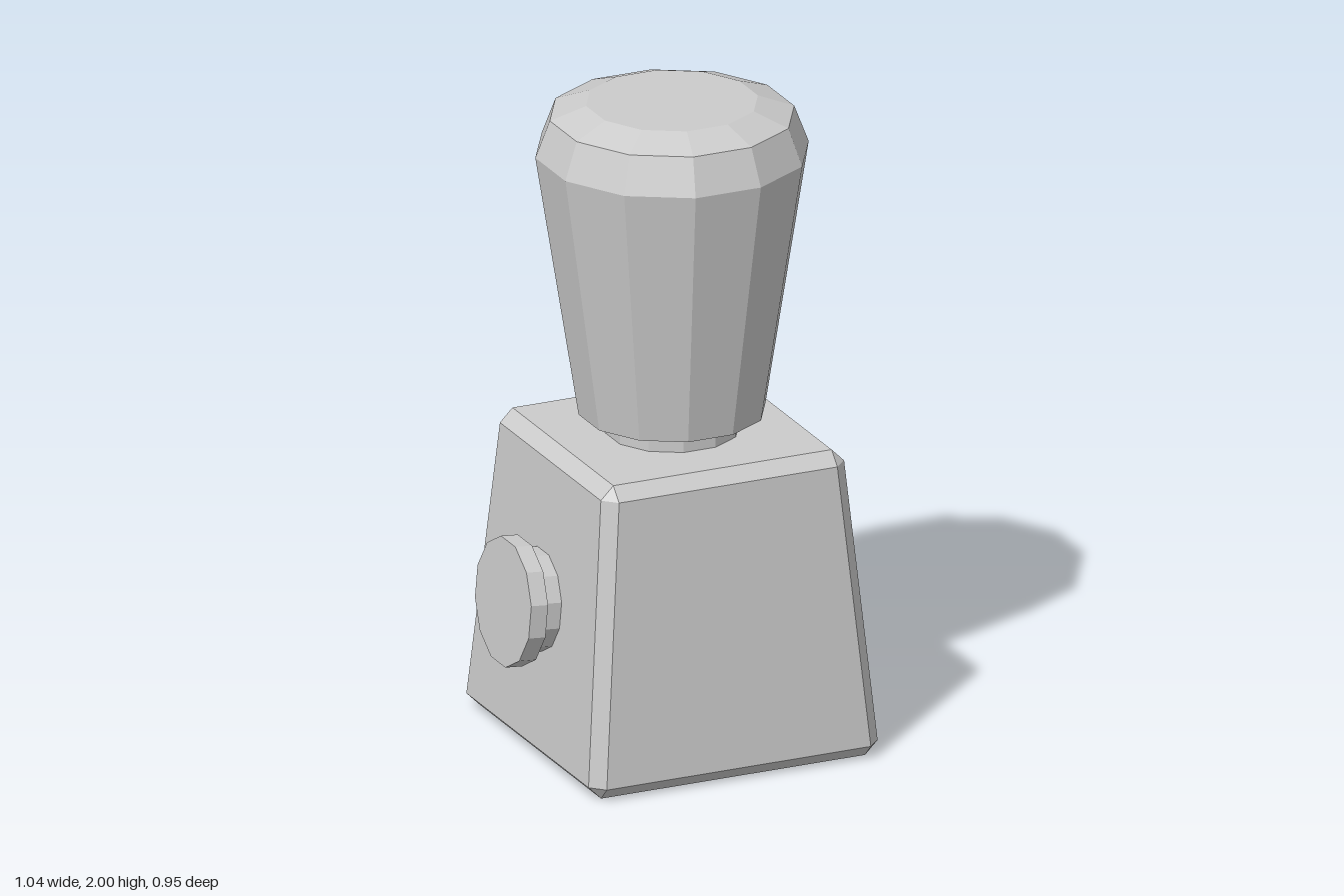
import * as THREE from 'three';
import { ConvexGeometry } from 'three/addons/geometries/ConvexGeometry.js';

const material = new THREE.MeshStandardMaterial({ color: 0xcccccc, flatShading: true });
const SIDES = 12;
const TURN = Math.PI / SIDES; // flats, not corners, face the axes
const APOTHEM = Math.cos(TURN);

function add(parent, name, geometry) {
  const mesh = new THREE.Mesh(geometry, material);
  mesh.name = name;
  parent.add(mesh);
  return mesh;
}

// Twelve-sided solid of revolution; profile is [distance to flat, height], bottom to top
function turned(profile) {
  const points = profile.map(([r, y]) => new THREE.Vector2(r / APOTHEM, y));
  return new THREE.LatheGeometry(points, SIDES, TURN);
}

function disc(r, y0, y1) {
  return turned([[0, y0], [r, y0], [r, y1], [0, y1]]);
}

// Tapered block with all edges chamfered
function taperedBlock(height, bottom, top, bevel) {
  const points = [];
  for (const sx of [-1, 1]) for (const sz of [-1, 1]) {
    for (const [half, capY, sideY] of [[bottom, 0, bevel], [top, height, height - bevel]]) {
      const inner = half - bevel;
      points.push(
        new THREE.Vector3(sx * inner, capY, sz * inner),
        new THREE.Vector3(sx * half, sideY, sz * inner),
        new THREE.Vector3(sx * inner, sideY, sz * half)
      );
    }
  }
  return new ConvexGeometry(points);
}

export function createModel() {
  const model = new THREE.Group();
  model.name = 'model';

  // Block, neck and grip share an axis slightly off centre
  const main = new THREE.Group();
  main.name = 'mainBody';
  main.position.x = 0.046;
  model.add(main);

  add(main, 'base', taperedBlock(0.957, 0.473, 0.398, 0.041));
  add(main, 'neck', disc(0.195, 0.94, 1.04));
  add(main, 'grip', turned([
    [0, 1.02], [0.272, 1.02], [0.398, 1.845], [0.356, 1.96], [0.25, 2], [0, 2]
  ]));

  // Side knob, square to the sloping right face
  const knob = new THREE.Group();
  knob.name = 'sideKnob';
  knob.position.set(-0.388, 0.485, 0);
  knob.rotation.z = Math.PI / 2 - Math.atan2(0.075, 0.875);
  model.add(knob);
  add(knob, 'knobStem', disc(0.152, -0.02, 0.07));
  add(knob, 'knobCap', disc(0.19, 0.064, 0.119));

  return model;
}
